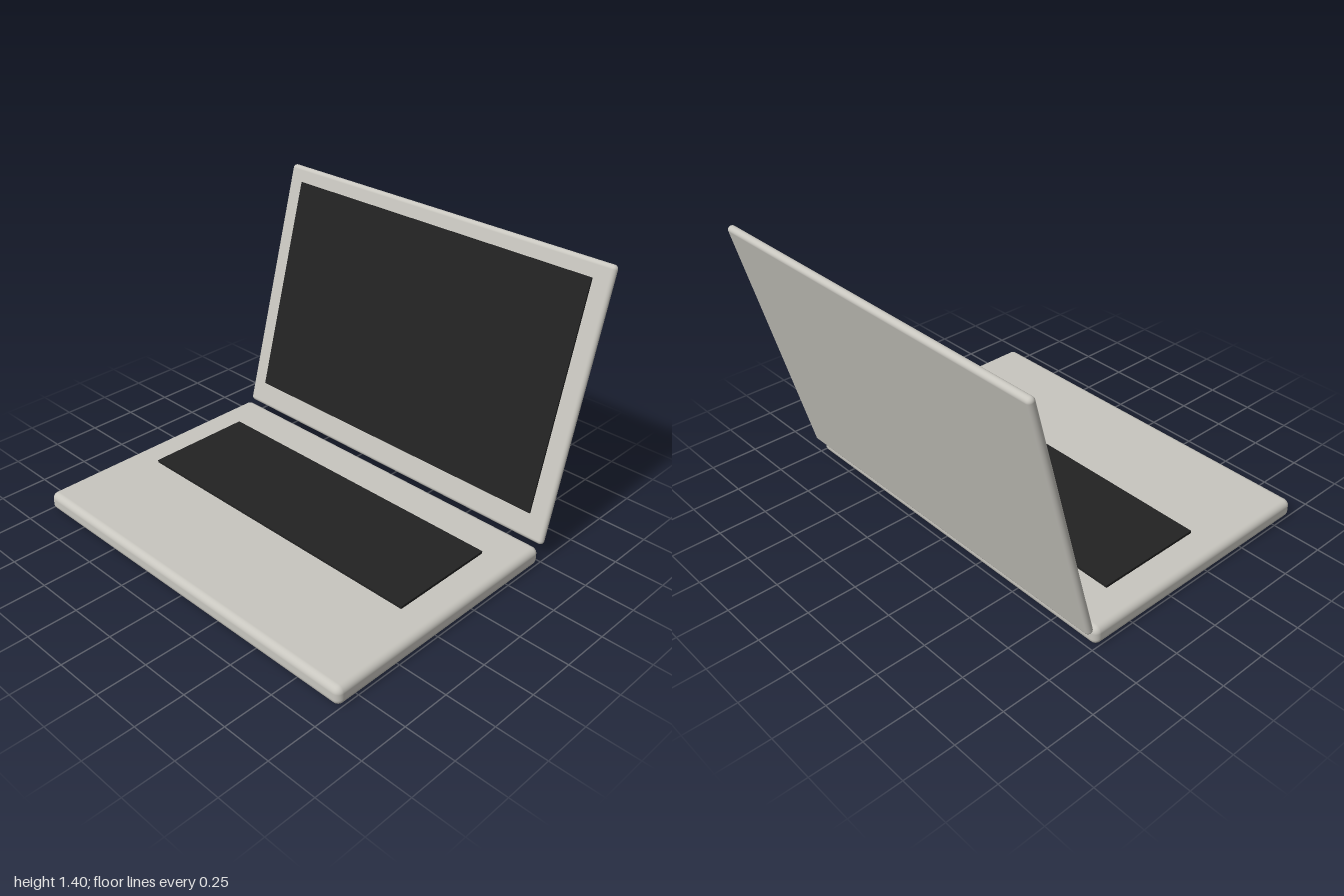
import * as THREE from 'three';
import { RoundedBoxGeometry } from 'three/addons/geometries/RoundedBoxGeometry.js';

export function createModel() {
  const casing = new THREE.MeshStandardMaterial({ color: 0xc8c6bf });
  casing.name = 'warm grey casing';
  const black = new THREE.MeshStandardMaterial({ color: 0x222222 });
  black.name = 'soft black';

  const model = new THREE.Group();
  model.name = 'laptop';

  function add(parent, name, geometry, material, x, y, z) {
    const mesh = new THREE.Mesh(geometry, material);
    mesh.name = name;
    mesh.position.set(x, y, z);
    parent.add(mesh);
    return mesh;
  }

  // Base slab with rounded edges, and the keyboard panel raised on it
  add(model, 'base', new RoundedBoxGeometry(2, 0.095, 1.35, 4, 0.033), casing, 0, 0.0475, 0.194);
  add(model, 'keyboard', new THREE.BoxGeometry(1.68, 0.018, 0.565), black, 0, 0.099, 0.03);

  // Lid leaning back 15 degrees, carrying the screen on its front face
  const lid = new THREE.Group();
  lid.name = 'lid';
  lid.position.set(0, 0.744, -0.679);
  lid.rotation.x = -Math.PI / 12;
  model.add(lid);
  add(lid, 'lidPanel', new RoundedBoxGeometry(2, 1.35, 0.04, 4, 0.0199), casing, 0, 0, 0);
  add(lid, 'screen', new THREE.BoxGeometry(1.81, 1.14, 0.016), black, 0, 0.025, 0.021);

  return model;
}
